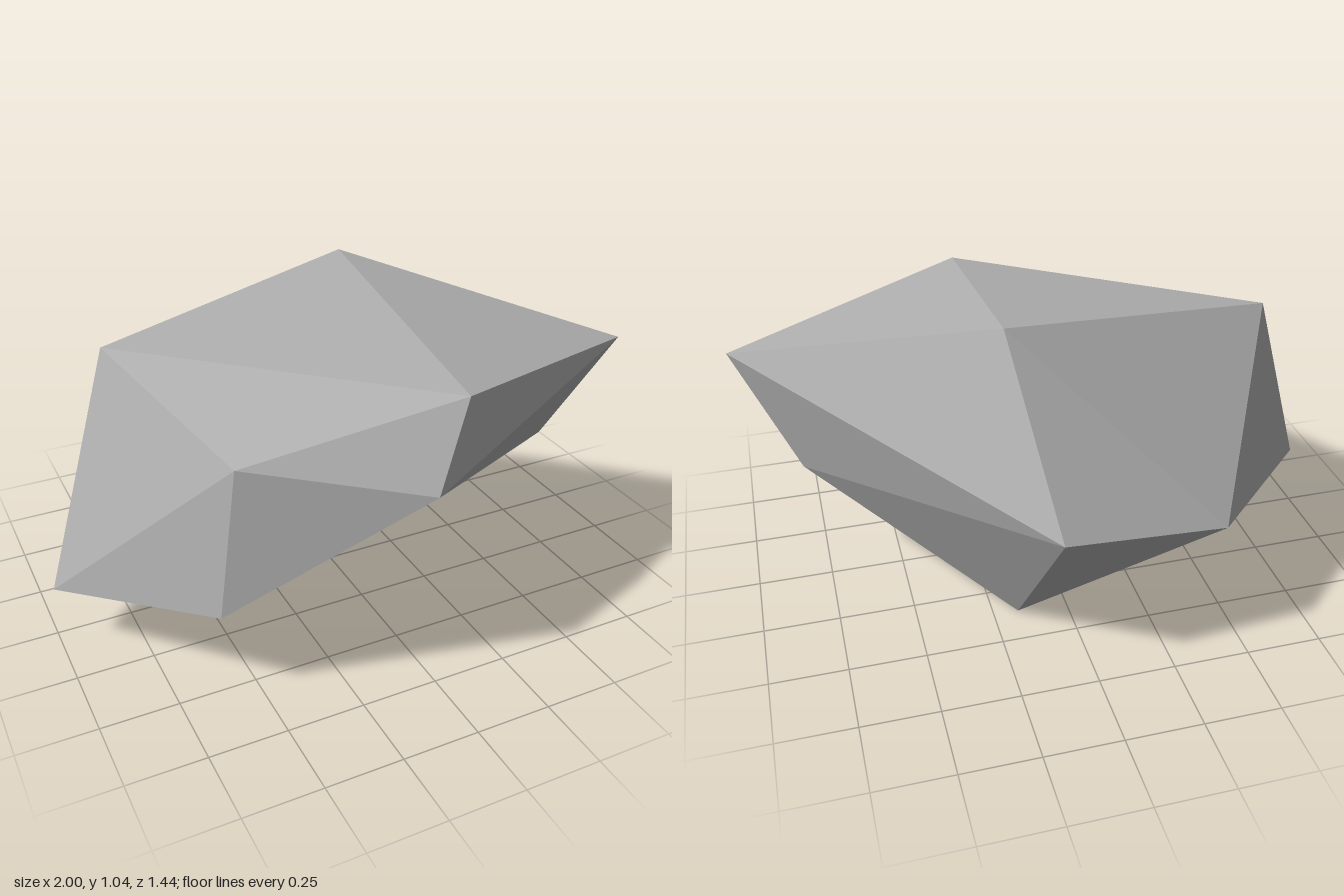
import * as THREE from 'three';
import { ConvexGeometry } from 'three/addons/geometries/ConvexGeometry.js';

export function createModel() {
  const model = new THREE.Group();
  model.name = 'rock';

  const stone = new THREE.MeshStandardMaterial({ color: 0xb0b0b0, flatShading: true });
  stone.name = 'grey stone';

  // Corners of the faceted boulder; its surface is their convex hull
  const corners = [
    // upper ridge
    [-0.73, 0.925, -0.13], [0.19, 1.045, -0.325], [0.17, 0.885, 0.593], [-0.525, 0.74, 0.46],
    // widest belt
    [1, 0.78, 0.243], [0, 0.655, 0.722], [0.11, 0.525, -0.722], [-0.42, 0.46, -0.675],
    // lower slopes and foot
    [-1, 0.2, 0.037], [-0.61, 0.29, 0.523], [0.8, 0.385, 0.11],
    [0.24, 0.08, -0.17], [0.167, 0, -0.365],
  ].map((c) => new THREE.Vector3(...c));

  const boulder = new THREE.Mesh(new ConvexGeometry(corners), stone);
  boulder.name = 'boulder';
  model.add(boulder);
  return model;
}
